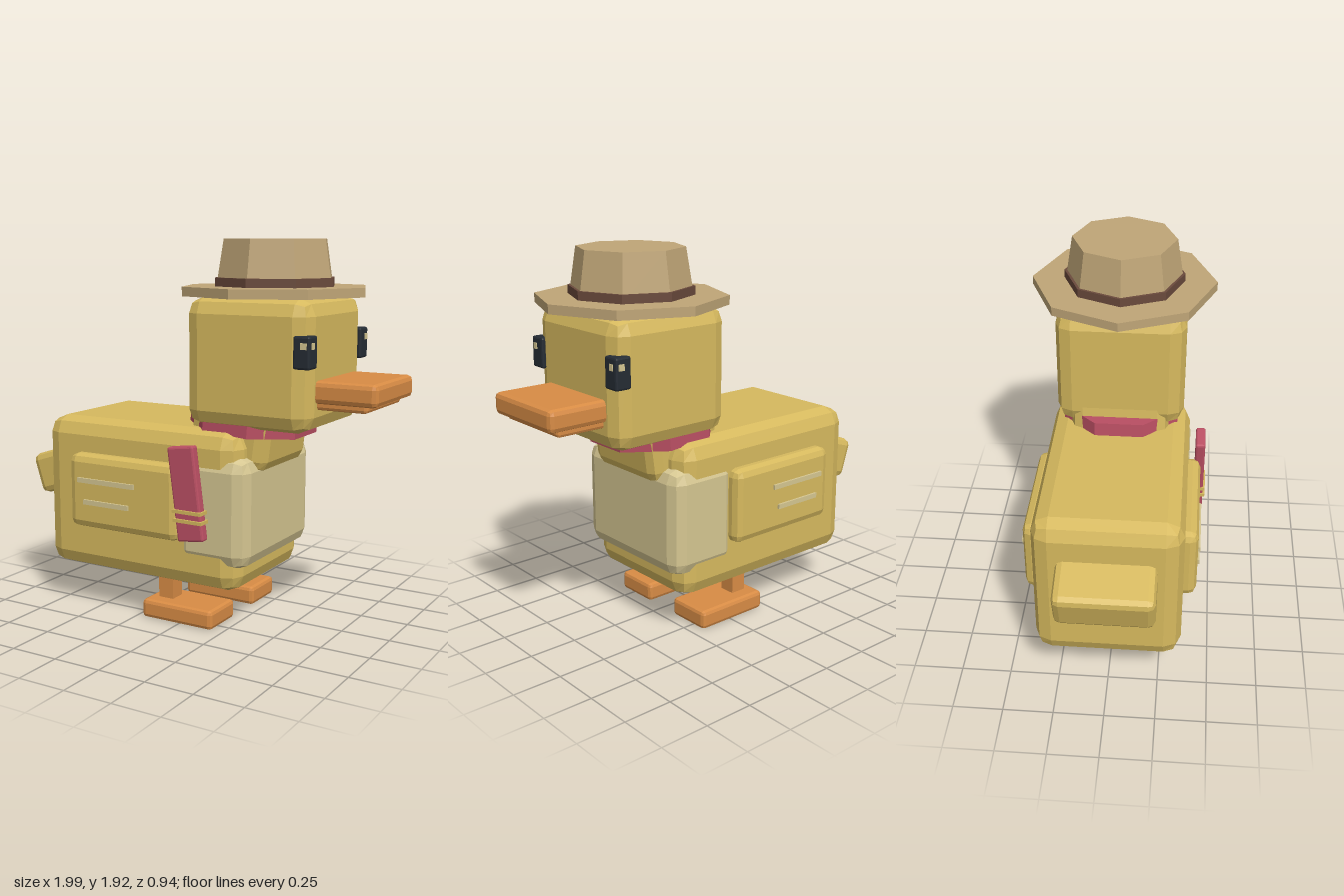
import * as THREE from 'three';
import { RoundedBoxGeometry } from 'three/addons/geometries/RoundedBoxGeometry.js';

const paint = (name, color) => {
  const m = new THREE.MeshStandardMaterial({ color });
  m.name = name;
  return m;
};

// Facet a geometry: one normal per triangle
function faceted(geo) {
  const g = geo.index ? geo.toNonIndexed() : geo;
  g.computeVertexNormals();
  return g;
}

export function createModel() {
  const model = new THREE.Group();
  model.name = 'duckWithHat';

  const yellow = paint('duckYellow', 0xd6b95e);
  const cream = paint('bellyCream', 0xd5c691);
  const orange = paint('beakOrange', 0xd88c45);
  const pink = paint('scarfPink', 0xbc5064);
  const tan = paint('hatTan', 0xbfa577);
  const brown = paint('hatBandBrown', 0x6a4a3c);
  const black = paint('eyeBlack', 0x252c34);

  function add(name, geo, mat, x, y, z, rotZ = 0) {
    const mesh = new THREE.Mesh(faceted(geo), mat);
    mesh.name = name;
    mesh.position.set(x, y, z);
    mesh.rotation.z = rotZ;
    model.add(mesh);
    return mesh;
  }

  // Bevelled box, given by its size and centre
  function block(name, mat, size, pos, bevel, rotZ = 0) {
    const geo = bevel ? new RoundedBoxGeometry(...size, 1, bevel) : new THREE.BoxGeometry(...size);
    return add(name, geo, mat, ...pos, rotZ);
  }

  // Eight-sided disc or tapered drum
  const drum = (name, mat, top, bottom, h, x, y, rotZ = 0, turn = 0) =>
    add(name, new THREE.CylinderGeometry(top, bottom, h, 8).rotateY(turn), mat, x, y, 0, rotZ);

  // Body, belly, neck, tail
  block('body', yellow, [1.145, 0.8, 0.72], [-0.228, 0.608, 0], 0.085);
  block('belly', cream, [0.395, 0.55, 0.732], [0.198, 0.61, 0], 0.07);
  block('neck', yellow, [0.43, 0.34, 0.5], [0.23, 0.99, 0], 0.06, -0.13);
  block('tail', yellow, [0.31, 0.22, 0.48], [-0.825, 0.69, 0], 0.035, 0.31);

  // Head and beak
  block('head', yellow, [0.663, 0.625, 0.65], [0.362, 1.333, 0], 0.08);
  block('upperBeak', orange, [0.395, 0.107, 0.475], [0.797, 1.217, 0], 0.025);
  block('lowerBeak', orange, [0.34, 0.06, 0.43], [0.77, 1.163, 0], 0.015);

  // Hat
  const hatX = 0.362;
  drum('hatBrim', tan, 0.468, 0.468, 0.045, hatX, 1.668);
  drum('hatBand', brown, 0.305, 0.305, 0.045, hatX, 1.71);
  drum('hatCrown', tan, 0.262, 0.298, 0.225, hatX, 1.803);

  // Scarf ring and the end hanging on the left side of the body
  drum('scarfRing', pink, 0.319, 0.319, 0.07, 0.245, 1.023, -0.08, Math.PI / 8);
  block('scarfEnd', pink, [0.145, 0.465, 0.05], [0.113, 0.708, 0.42], 0.01, 0.13);
  block('scarfStripe', yellow, [0.16, 0.017, 0.066], [0.125, 0.622, 0.422]);
  block('scarfStripe', yellow, [0.16, 0.017, 0.066], [0.13, 0.577, 0.422]);

  // Paired parts, mirrored across z
  for (const s of [1, -1]) {
    block('eye', black, [0.086, 0.152, 0.086], [0.667, 1.407, s * 0.297], 0.01);
    block('eyeGlintFront', cream, [0.006, 0.03, 0.025], [0.712, 1.438, s * 0.308]);
    block('eyeGlintSide', cream, [0.03, 0.03, 0.006], [0.68, 1.438, s * 0.342]);

    block('wing', yellow, [0.655, 0.385, 0.13], [-0.277, 0.643, s * 0.36], 0.04);
    block('wingFeather', cream, [0.345, 0.025, 0.016], [-0.368, 0.704, s * 0.428]);
    block('wingFeather', cream, [0.275, 0.025, 0.016], [-0.368, 0.592, s * 0.428]);

    block('leg', orange, [0.085, 0.2, 0.085], [-0.118, 0.17, s * 0.217]);
    block('foot', orange, [0.41, 0.097, 0.243], [-0.01, 0.0485, s * 0.217], 0.02);
  }

  return model;
}
